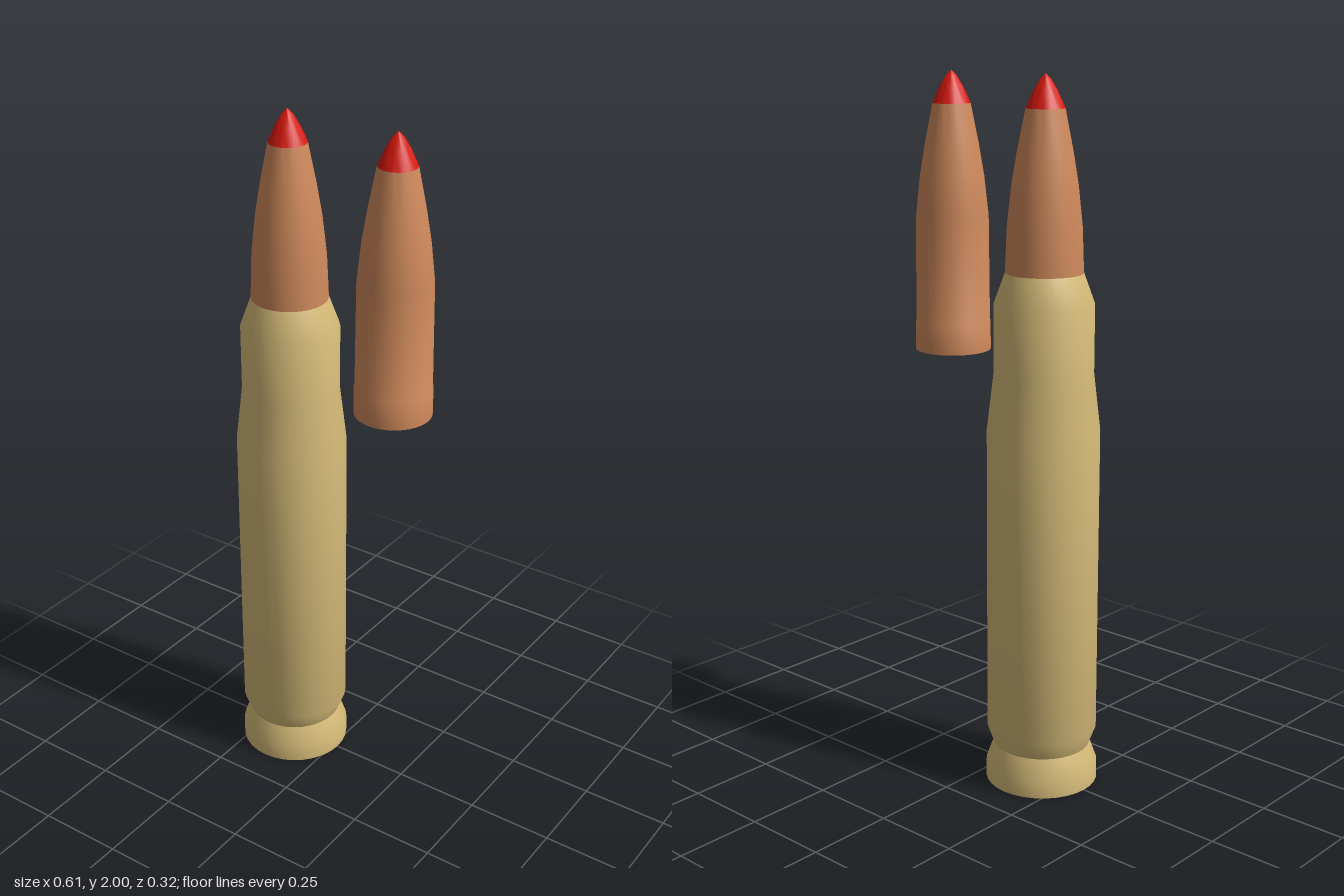
import * as THREE from 'three';
import { toCreasedNormals } from 'three/addons/utils/BufferGeometryUtils.js';

const SIDES = 32;
const brass = new THREE.MeshStandardMaterial({ color: 0xd8bd7a, side: THREE.DoubleSide });
const copper = new THREE.MeshStandardMaterial({ color: 0xd08a5c, side: THREE.DoubleSide });
const red = new THREE.MeshStandardMaterial({ color: 0xd8180c, side: THREE.DoubleSide });

// Turn a [radius, height] profile around the y axis
function turned(name, profile, material) {
  const points = profile.map(([r, y]) => new THREE.Vector2(r, y));
  const geometry = toCreasedNormals(new THREE.LatheGeometry(points, SIDES), 0.6);
  const mesh = new THREE.Mesh(geometry, material);
  mesh.name = name;
  return mesh;
}

// Pointed bullet with a painted tip; the base profile differs per copy
function bullet(name, base) {
  const group = new THREE.Group();
  group.name = name;
  group.add(
    turned('jacket', [...base, [0.102, 1.6], [0.09, 1.71], [0.075, 1.8], [0.053, 1.91]], copper),
    turned('tip', [[0.053, 1.91], [0.033, 1.955], [0.015, 1.985], [0, 2]], red)
  );
  return group;
}

export function createModel() {
  const model = new THREE.Group();
  model.name = 'ammunition';

  // Complete round: hollow rim, closed case, seated bullet
  const round = new THREE.Group();
  round.name = 'cartridge';
  round.position.x = -0.145;
  round.add(
    turned('rim', [[0.16, 0], [0.16, 0.05], [0.138, 0.11]], brass),
    turned('case', [
      [0, 0.11], [0.138, 0.11], [0.157, 0.16], [0.157, 1.04],
      [0.138, 1.2], [0.138, 1.39], [0.107, 1.475]
    ], brass),
    bullet('seatedBullet', [[0.107, 1.475]])
  );

  // Loose bullet with a slightly recessed base
  const loose = bullet('looseBullet', [
    [0, 1.25], [0.104, 1.25], [0.107, 1.22], [0.107, 1.3], [0.105, 1.305]
  ]);
  loose.position.x = 0.196;

  model.add(round, loose);
  return model;
}
